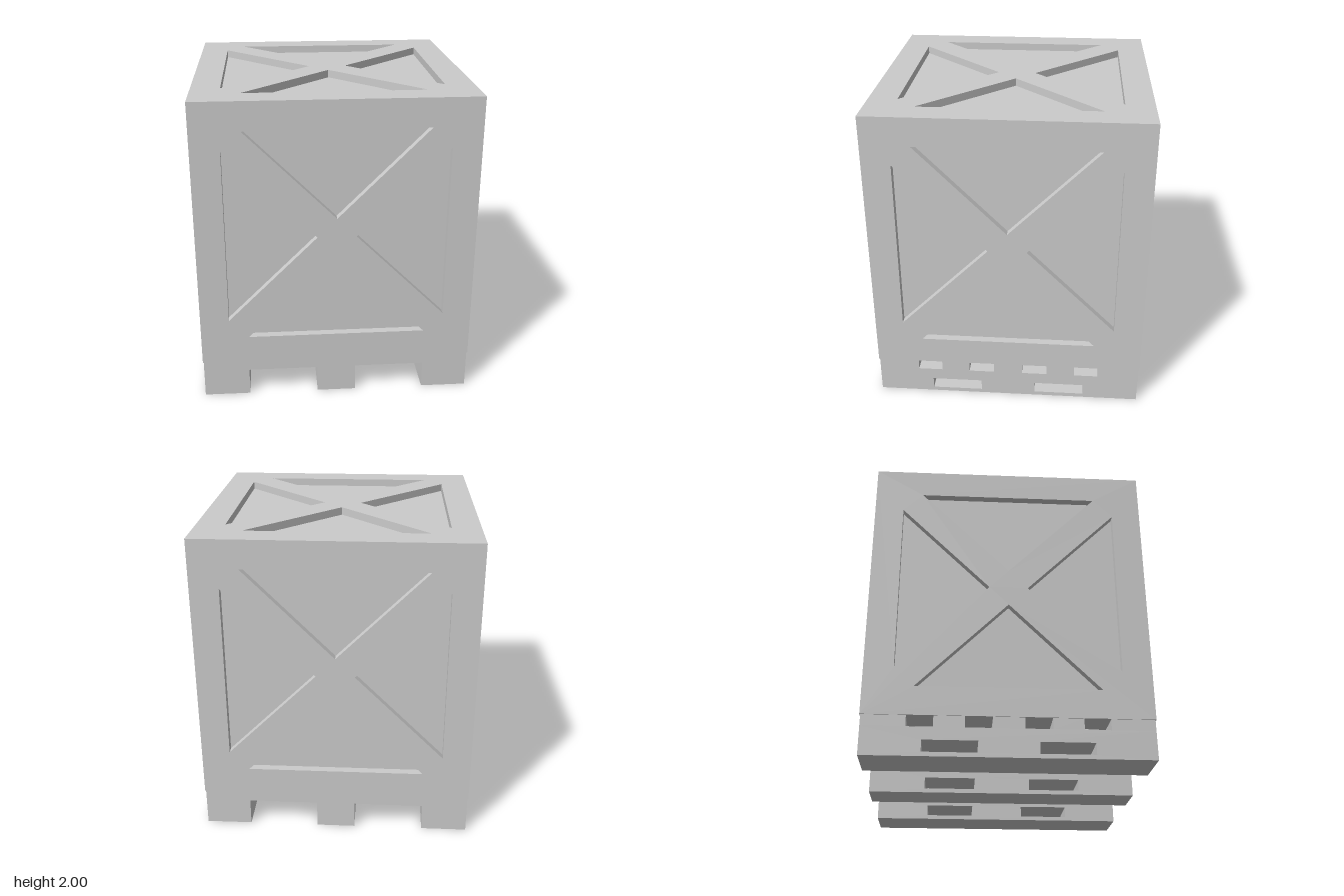
import * as THREE from 'three';

const HALF = 0.875;      // half the crate's side
const DEPTH = 0.05;      // depth of the triangular recesses
const CRATE_Y = 1.125;   // crate centre
const DECK_BOTTOM = 0.18, DECK_TOP = 0.25, PALLET_HALF = 0.87;

function polygon(points, Type = THREE.Shape) {
  return new Type(points.map(([x, y]) => new THREE.Vector2(x, y)));
}

function rectangle(x0, y0, x1, y1, Type) {
  return polygon([[x0, y0], [x1, y0], [x1, y1], [x0, y1]], Type);
}

// Square panel with four triangular openings, leaving a border and an X brace
function panelGeometry() {
  const shape = rectangle(-HALF, -HALF, HALF, HALF);
  for (let i = 0; i < 4; i++) {
    const c = Math.round(Math.cos(i * Math.PI / 2)), s = Math.round(Math.sin(i * Math.PI / 2));
    const corners = [[0, 0.122], [-0.568, 0.692], [0.568, 0.692]];
    shape.holes.push(polygon(corners.map(([x, y]) => [x * c - y * s, x * s + y * c]), THREE.Path));
  }
  const geometry = new THREE.ExtrudeGeometry(shape, { depth: DEPTH, bevelEnabled: false });

  // Mitre the outer rim so six panels meet cleanly at the crate's edges
  const p = geometry.attributes.position;
  const mitre = v => Math.abs(v) > HALF - 0.001 ? Math.sign(v) * (HALF - DEPTH) : v;
  for (let i = 0; i < p.count; i++) {
    if (p.getZ(i) < DEPTH / 2) p.setXY(i, mitre(p.getX(i)), mitre(p.getY(i)));
  }
  geometry.computeVertexNormals();
  return geometry.translate(0, 0, HALF - DEPTH);
}

// Pallet runner along z, pierced by two strap slots
function runnerGeometry(width) {
  const shape = rectangle(-PALLET_HALF, 0, PALLET_HALF, DECK_BOTTOM);
  shape.holes.push(rectangle(-0.51, 0.027, -0.18, 0.1, THREE.Path));
  shape.holes.push(rectangle(0.18, 0.027, 0.51, 0.1, THREE.Path));
  return new THREE.ExtrudeGeometry(shape, { depth: width, bevelEnabled: false })
    .translate(0, 0, -width / 2)
    .rotateY(-Math.PI / 2);
}

export function createModel() {
  const model = new THREE.Group();
  model.name = 'crateOnPallet';
  const material = new THREE.MeshStandardMaterial({ color: 0xcccccc, flatShading: true });
  const add = (parent, name, geometry) => {
    const mesh = new THREE.Mesh(geometry, material);
    mesh.name = name;
    parent.add(mesh);
    return mesh;
  };

  // Crate: an inner box clad with six braced panels
  const crate = new THREE.Group();
  crate.name = 'crate';
  crate.position.y = CRATE_Y;
  model.add(crate);
  const inner = 2 * (HALF - DEPTH);
  add(crate, 'innerBox', new THREE.BoxGeometry(inner, inner, inner));
  const panel = panelGeometry();
  const q = Math.PI / 2;
  const sides = { front: [0, 0], left: [0, q], back: [0, 2 * q], right: [0, -q], top: [-q, 0], bottom: [q, 0] };
  for (const [side, [rx, ry]] of Object.entries(sides)) {
    add(crate, side + 'Panel', panel).rotation.set(rx, ry, 0);
  }

  // Pallet: three runners below five deck boards
  const pallet = new THREE.Group();
  pallet.name = 'pallet';
  model.add(pallet);
  for (const [name, x, width] of [['right', -0.7225, 0.295], ['middle', 0, 0.25], ['left', 0.7225, 0.295]]) {
    add(pallet, name + 'Runner', runnerGeometry(width)).position.x = x;
  }
  const boards = [[-PALLET_HALF, -0.605], [-0.445, -0.26], [-0.095, 0.095], [0.26, 0.445], [0.605, PALLET_HALF]];
  for (const [z0, z1] of boards) {
    const board = new THREE.BoxGeometry(2 * PALLET_HALF, DECK_TOP - DECK_BOTTOM, z1 - z0);
    add(pallet, 'deckBoard', board).position.set(0, (DECK_TOP + DECK_BOTTOM) / 2, (z0 + z1) / 2);
  }

  return model;
}
